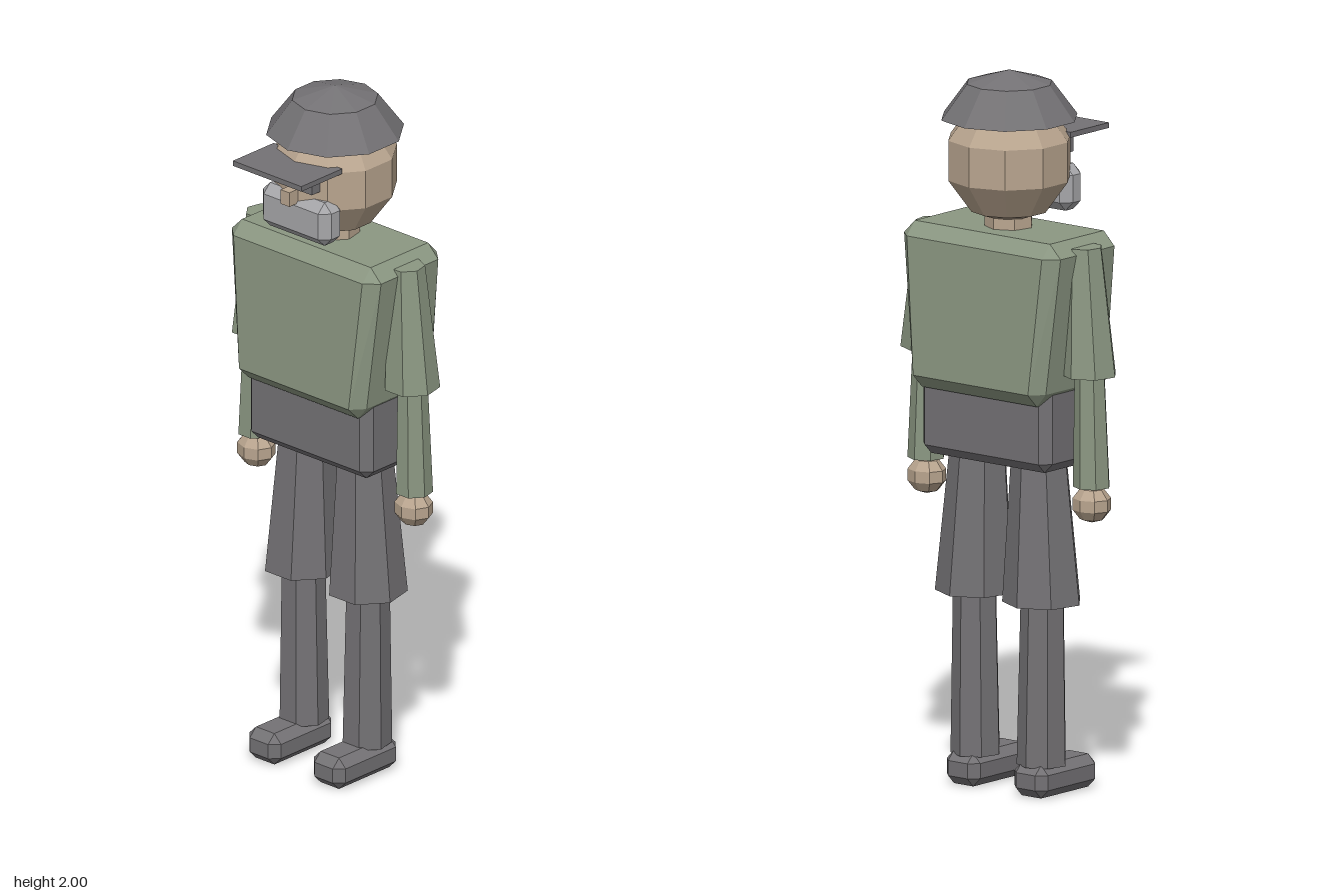
import * as THREE from 'three';
import { ConvexGeometry } from 'three/addons/geometries/ConvexGeometry.js';

const AXIS_Z = -0.04; // depth of the body's vertical axis

function makeMaterial(name, color) {
  const m = new THREE.MeshStandardMaterial({ color, flatShading: true });
  m.name = name;
  return m;
}

// Box with bevelled edges; taper(v) may adjust each corner point
function chamferBox(w, h, d, c, taper = () => {}) {
  const points = [];
  for (const sx of [-1, 1]) for (const sy of [-1, 1]) for (const sz of [-1, 1]) {
    for (const axis of [0, 1, 2]) {
      const half = [w / 2, h / 2, d / 2].map((v, i) => (i === axis ? v : v - c));
      const p = new THREE.Vector3(sx * half[0], sy * half[1], sz * half[2]);
      taper(p);
      points.push(p);
    }
  }
  return new ConvexGeometry(points);
}

// Seven-sided limb between two heights, with its own radius and x at each end
function limb(top, bottom) {
  const h = top.y - bottom.y;
  const g = new THREE.CylinderGeometry(top.r, bottom.r, h, 7);
  g.rotateY(Math.PI);
  const pos = g.attributes.position;
  for (let i = 0; i < pos.count; i++) {
    const t = pos.getY(i) / h + 0.5;
    pos.setX(i, pos.getX(i) + bottom.x + (top.x - bottom.x) * t);
  }
  g.translate(0, (top.y + bottom.y) / 2, AXIS_Z);
  return g;
}

export function createModel() {
  const model = new THREE.Group();
  model.name = 'figure';
  const green = makeMaterial('shirt green', 0x8b9782);
  const gray = makeMaterial('dark gray', 0x747275);
  const skin = makeMaterial('skin', 0xb9a58f);
  const pale = makeMaterial('beard gray', 0xa6a6a9);

  function add(name, geometry, material, x = 0, y = 0, z = 0) {
    const mesh = new THREE.Mesh(geometry, material);
    mesh.name = name;
    mesh.position.set(x, y, z);
    model.add(mesh);
    return mesh;
  }

  // Torso: wider at the shoulders, deeper at the waist
  const torso = chamferBox(0.554, 0.456, 0.33, 0.038, (p) => {
    const t = THREE.MathUtils.clamp(p.y / 0.38 + 0.5, 0, 1);
    p.x *= 0.85 + 0.15 * t;
    p.z *= 1 - 0.1 * t;
  });
  add('torso', torso, green, 0, 1.338, AXIS_Z);
  add('hips', chamferBox(0.456, 0.25, 0.236, 0.027), gray, 0, 1.045, AXIS_Z);

  // Neck and head
  add('neck', new THREE.CylinderGeometry(0.066, 0.069, 0.1, 7).rotateY(Math.PI), skin, 0, 1.58, AXIS_Z);
  add('head', new THREE.SphereGeometry(0.18, 10, 5).rotateY(Math.PI / 2), skin, 0, 1.755, AXIS_Z);

  // Face
  add('nose', new THREE.BoxGeometry(0.032, 0.042, 0.04), skin, 0, 1.728, 0.14);
  add('beard', chamferBox(0.254, 0.128, 0.085, 0.026), pale, 0, 1.665, 0.094);

  // Cap with brim
  const capProfile = [[0, 1.868], [0.191, 1.868], [0.119, 1.965], [0, 2]];
  const crown = new THREE.LatheGeometry(capProfile.map(([r, y]) => new THREE.Vector2(r, y)), 10);
  add('capCrown', crown, gray, 0, 0, AXIS_Z);
  add('capBrim', new THREE.BoxGeometry(0.254, 0.015, 0.163), gray, 0, 1.817, 0.15);

  // Mirrored parts
  for (const [side, s] of [['left', 1], ['right', -1]]) {
    add(`${side}Eye`, new THREE.BoxGeometry(0.038, 0.043, 0.034), gray, s * 0.06, 1.775, 0.121);
    add(`${side}UpperArm`, limb({ x: s * 0.265, y: 1.545, r: 0.051 }, { x: s * 0.284, y: 1.19, r: 0.078 }), green);
    add(`${side}Forearm`, limb({ x: s * 0.286, y: 1.22, r: 0.042 }, { x: s * 0.293, y: 0.88, r: 0.052 }), green);
    const hand = add(`${side}Hand`, new THREE.SphereGeometry(0.052, 8, 5), skin, s * 0.292, 0.832, AXIS_Z);
    hand.scale.set(1.12, 1, 1);
    add(`${side}Thigh`, limb({ x: s * 0.108, y: 0.96, r: 0.077 }, { x: s * 0.119, y: 0.535, r: 0.111 }), gray);
    add(`${side}Shin`, limb({ x: s * 0.12, y: 0.57, r: 0.061 }, { x: s * 0.117, y: 0.083, r: 0.07 }), gray);
    add(`${side}Shoe`, chamferBox(0.118, 0.092, 0.25, 0.025), gray, s * 0.12, 0.046, 0.01);
  }
  return model;
}
